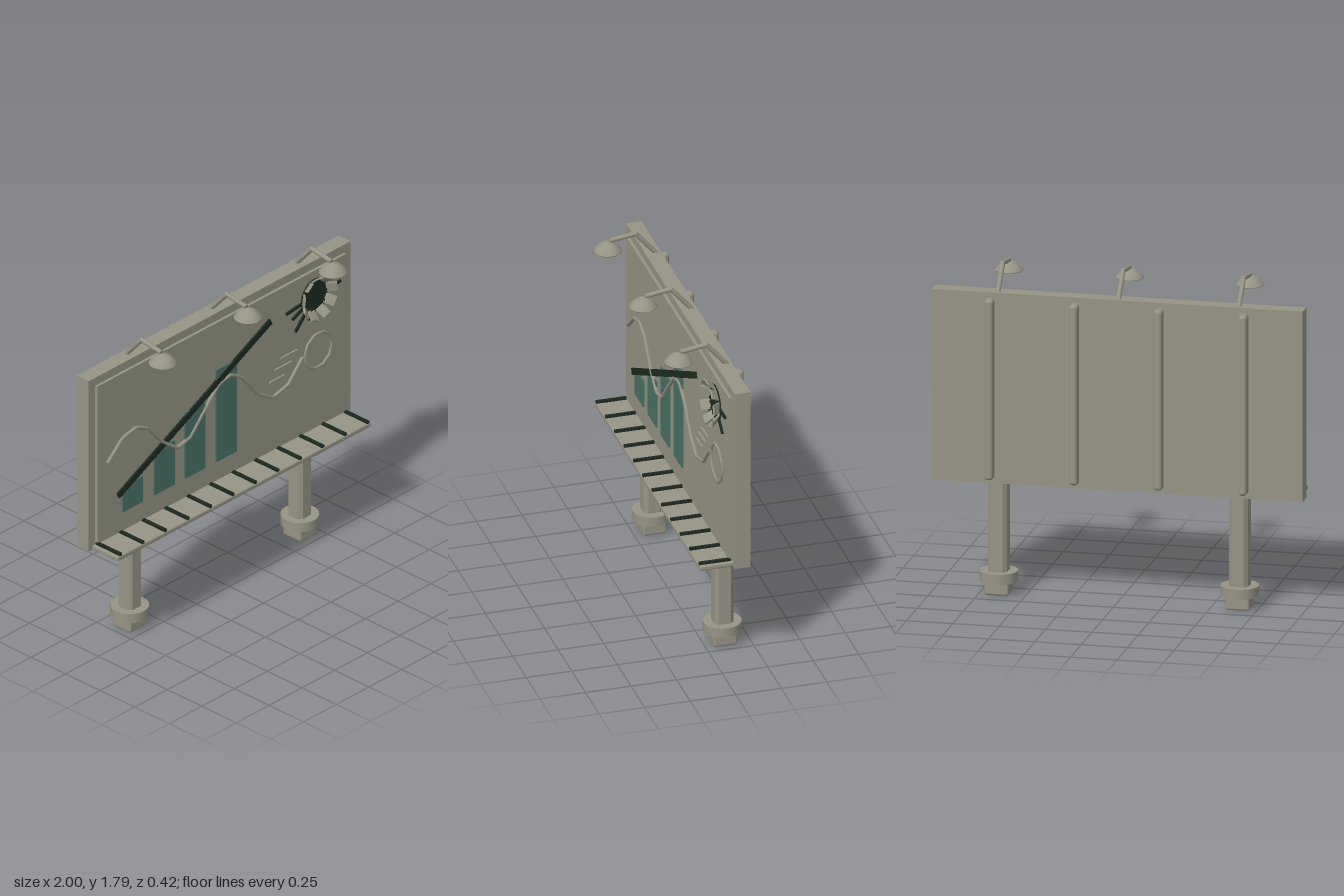
import * as THREE from 'three';
import { RoundedBoxGeometry } from 'three/addons/geometries/RoundedBoxGeometry.js';

export function createModel() {
  const model = new THREE.Group();
  model.name = 'billboard';
  const grey = new THREE.MeshStandardMaterial({ color: 0x969484 });
  grey.name = 'weathered grey';
  const teal = new THREE.MeshStandardMaterial({ color: 0x4a7266 });
  teal.name = 'teal paint';
  const dark = new THREE.MeshStandardMaterial({ color: 0x1d2a20 });
  dark.name = 'dark green';

  function add(name, geo, mat, x = 0, y = 0, z = 0, parent = model) {
    const mesh = new THREE.Mesh(geo, mat);
    mesh.name = name;
    mesh.position.set(x, y, z);
    parent.add(mesh);
    return mesh;
  }
  const box = (w, h, d) => new THREE.BoxGeometry(w, h, d);

  // Round rod between two points
  function rod(name, a, b, r, parent = model, mat = grey, sides = 10) {
    const dir = b.clone().sub(a);
    const m = add(name, new THREE.CylinderGeometry(r, r, dir.length(), sides), mat, 0, 0, 0, parent);
    m.position.copy(a).add(b).multiplyScalar(0.5);
    m.quaternion.setFromUnitVectors(new THREE.Vector3(0, 1, 0), dir.normalize());
    return m;
  }

  // Flat strip lying on the face of the board
  function strip(name, x1, y1, x2, y2, width, depth, mat, z) {
    const m = add(name, box(Math.hypot(x2 - x1, y2 - y1), width, depth), mat, (x1 + x2) / 2, (y1 + y2) / 2, z);
    m.rotation.z = Math.atan2(y2 - y1, x2 - x1);
    return m;
  }

  // Board and raised face panel
  add('board', box(2, 1.04, 0.086), grey, 0, 1.13, -0.113);
  add('facePanel', box(1.9, 0.96, 0.02), grey, 0, 1.122, -0.064);

  // Upright ribs on the back
  for (const x of [-0.685, -0.228, 0.228, 0.685])
    add('backRib', new RoundedBoxGeometry(0.046, 0.985, 0.07, 3, 0.018), grey, x, 1.128, -0.174);

  // Chamfered posts with collars and feet
  const c = 0.032, w = 0.052;
  const section = new THREE.Shape([
    [-c, -w], [c, -w], [w, -c], [w, c], [c, w], [-c, w], [-w, c], [-w, -c],
  ].map(([x, y]) => new THREE.Vector2(x, y)));
  const postGeo = new THREE.ExtrudeGeometry(section, { depth: 0.56, bevelEnabled: false });
  postGeo.rotateX(-Math.PI / 2);
  const collarGeo = new THREE.CylinderGeometry(0.103, 0.103, 0.055, 20);
  for (const x of [-0.65, 0.65]) {
    const post = new THREE.Group();
    post.name = 'post';
    post.position.set(x, 0, -0.105);
    model.add(post);
    add('postShaft', postGeo, grey, 0, 0.06, 0, post);
    add('postCollar', collarGeo, grey, 0, 0.0975, 0, post);
    add('postFoot', new RoundedBoxGeometry(0.13, 0.075, 0.13, 2, 0.012), grey, 0, 0.0375, 0, post);
  }

  // Walkway with dark slats
  add('walkway', new RoundedBoxGeometry(1.94, 0.028, 0.19, 2, 0.008), grey, 0, 0.622, 0.018);
  for (let i = 0; i < 12; i++)
    add('walkwaySlat', box(0.018, 0.014, 0.175), dark, -0.944 + i * 0.1716, 0.642, 0.024);

  // Lamps on bent arms
  const domeProfile = [[0.001, 0.056], [0.022, 0.052], [0.045, 0.038], [0.062, 0.02], [0.075, 0.004], [0.075, 0], [0.001, 0]]
    .map(([x, y]) => new THREE.Vector2(x, y)).reverse();
  const domeGeo = new THREE.LatheGeometry(domeProfile, 20);
  for (const x of [-0.65, 0, 0.65]) {
    const lamp = new THREE.Group();
    lamp.name = 'lamp';
    lamp.position.x = x;
    model.add(lamp);
    const foot = new THREE.Vector3(0, 1.64, -0.135);
    const elbow = new THREE.Vector3(0, 1.775, -0.018);
    const tip = new THREE.Vector3(0, 1.755, 0.125);
    rod('lampRiser', foot, elbow, 0.013, lamp);
    rod('lampArm', elbow, tip, 0.013, lamp);
    add('lampElbow', new THREE.SphereGeometry(0.014, 10, 8), grey, 0, elbow.y, elbow.z, lamp);
    add('lampShade', domeGeo, grey, 0, 1.696, 0.135, lamp);
  }

  // Painted bar chart
  [[-0.687, 0.915], [-0.445, 1.03], [-0.21, 1.163], [0.028, 1.32]].forEach(([x, top]) =>
    add('chartBar', box(0.156, top - 0.76, 0.009), teal, x, (top + 0.76) / 2, -0.05));

  // Rising trend line
  strip('trendLine', -0.8, 0.875, 0.365, 1.445, 0.036, 0.012, dark, -0.046);

  // Wavy line, ring and short dashes
  const wave = [[-0.88, 1.11], [-0.77, 1.21], [-0.66, 1.235], [-0.57, 1.19], [-0.46, 1.06], [-0.35, 0.975], [-0.25, 1.0],
    [-0.14, 1.12], [-0.03, 1.23], [0.06, 1.25], [0.15, 1.19], [0.27, 1.04], [0.38, 0.97], [0.5, 1.0], [0.61, 1.12]]
    .map(([x, y]) => new THREE.Vector3(x, y, -0.046));
  const path = new THREE.CurvePath();
  for (let i = 1; i < wave.length; i++) path.add(new THREE.LineCurve3(wave[i - 1], wave[i]));
  add('waveLine', new THREE.TubeGeometry(path, 84, 0.011, 6), grey);
  add('ring', new THREE.TorusGeometry(0.105, 0.009, 6, 10), grey, 0.733, 1.11, -0.05);
  for (const [x1, x2, y] of [[0.45, 0.57, 1.178], [0.4, 0.53, 1.125], [0.36, 0.475, 1.067]])
    strip('dash', x1, y, x2, y, 0.01, 0.012, grey, -0.05);

  // Torn hole: dark disc, bent flaps and cracks
  const hole = new THREE.Group();
  hole.name = 'tornHole';
  hole.position.set(0.705, 1.455, 0);
  model.add(hole);
  const disc = add('holeDisc', new THREE.CylinderGeometry(0.1, 0.1, 0.008, 20), dark, 0, 0, -0.05, hole);
  disc.rotation.x = Math.PI / 2;
  for (let i = 0; i < 9; i++) {
    const arm = new THREE.Group();
    arm.name = 'holeFlap';
    arm.rotation.z = Math.PI / 2 + (i * Math.PI * 2) / 9;
    hole.add(arm);
    const flap = add('flap', box(0.062, 0.056, 0.01), grey, 0.107, 0, -0.027, arm);
    flap.rotation.y = -0.85;
  }
  for (const [deg, reach] of [[186, 0.22], [204, 0.187], [227, 0.22], [321, 0.18], [2, 0.195], [250, 0.14]]) {
    const arm = new THREE.Group();
    arm.name = 'crack';
    arm.rotation.z = THREE.MathUtils.degToRad(deg);
    hole.add(arm);
    add('crackLine', box(reach - 0.08, 0.014, 0.012), dark, (reach + 0.08) / 2, 0, -0.048, arm);
  }

  return model;
}
